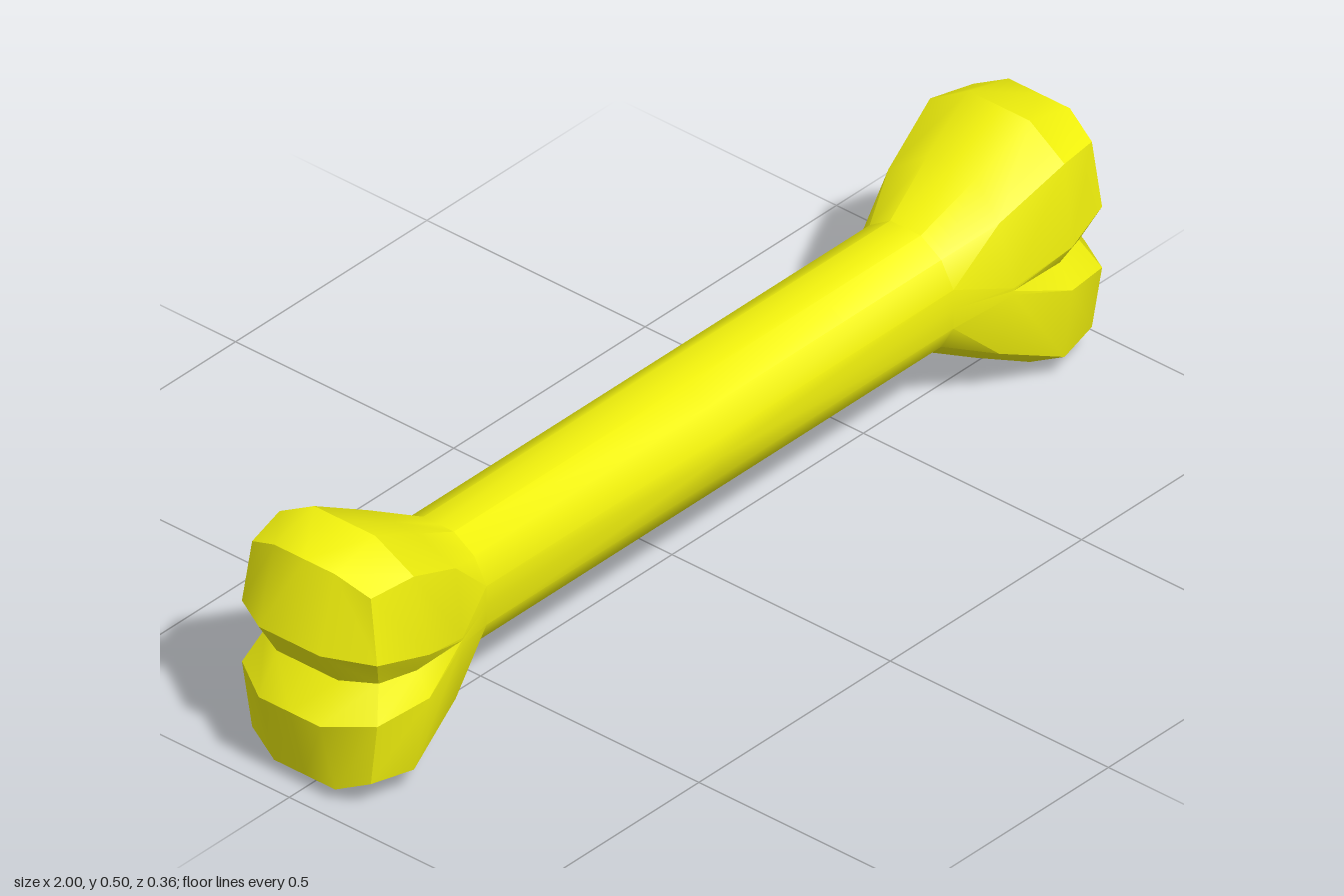
import * as THREE from 'three';
import { toCreasedNormals } from 'three/addons/utils/BufferGeometryUtils.js';

const MID = 0.25; // height of the bone's axis

export function createModel() {
  const group = new THREE.Group();
  group.name = 'bone';

  // Cross-sections of one eighth of the bone, from the middle of the shaft to the knob.
  // Points [x, y, z] run from the side notch up and over to the top centre.
  const section = (...pts) => [...pts, [pts[3][0], pts[3][1], 0]];
  const shaft = (x) => section([x, 0.25, 0.11], [x, 0.29, 0.11], [x, 0.34, 0.082], [x, 0.37, 0.035]);
  const sections = [
    shaft(0),
    shaft(0.61),
    section([0.72, 0.25, 0.15], [0.72, 0.257, 0.152], [0.71, 0.385, 0.127], [0.73, 0.435, 0.055]),
    section([0.84, 0.25, 0.152], [0.84, 0.295, 0.181], [0.85, 0.45, 0.154], [0.855, 0.5, 0.07]),
    section([0.915, 0.25, 0.13], [0.947, 0.313, 0.155], [0.942, 0.442, 0.136], [0.96, 0.473, 0.07]),
  ];

  const quads = [];
  for (let i = 0; i < sections.length - 1; i++) {
    for (let j = 0; j < 4; j++) {
      quads.push([sections[i][j], sections[i + 1][j], sections[i + 1][j + 1], sections[i][j + 1]]);
    }
  }

  // Rounded end of the knob and the notch between the two knobs
  const [a, b, c, d, top] = sections[4];
  const edge = [1, 0.323, 0.07], edgeMid = [1, 0.323, 0];
  const notch = [0.953, 0.25, 0.07], notchMid = [0.953, 0.25, 0];
  quads.push([top, d, edge, edgeMid], [d, c, b, edge], [edge, b, a, notch], [edgeMid, edge, notch, notchMid]);

  // Mirror the eighth in x, y and z, flipping the corner order where needed
  const positions = [];
  for (const sx of [1, -1]) for (const sy of [1, -1]) for (const sz of [1, -1]) {
    const order = sx * sy * sz > 0 ? [0, 1, 2, 0, 2, 3] : [0, 2, 1, 0, 3, 2];
    for (const quad of quads) {
      for (const k of order) {
        const [x, y, z] = quad[k];
        positions.push(sx * x, MID + sy * (y - MID), sz * z);
      }
    }
  }

  const geometry = new THREE.BufferGeometry();
  geometry.setAttribute('position', new THREE.Float32BufferAttribute(positions, 3));
  const mesh = new THREE.Mesh(
    toCreasedNormals(geometry, 0.6),
    new THREE.MeshStandardMaterial({ color: 0xf2f20d })
  );
  mesh.name = 'shaftAndKnobs';
  group.add(mesh);
  return group;
}
